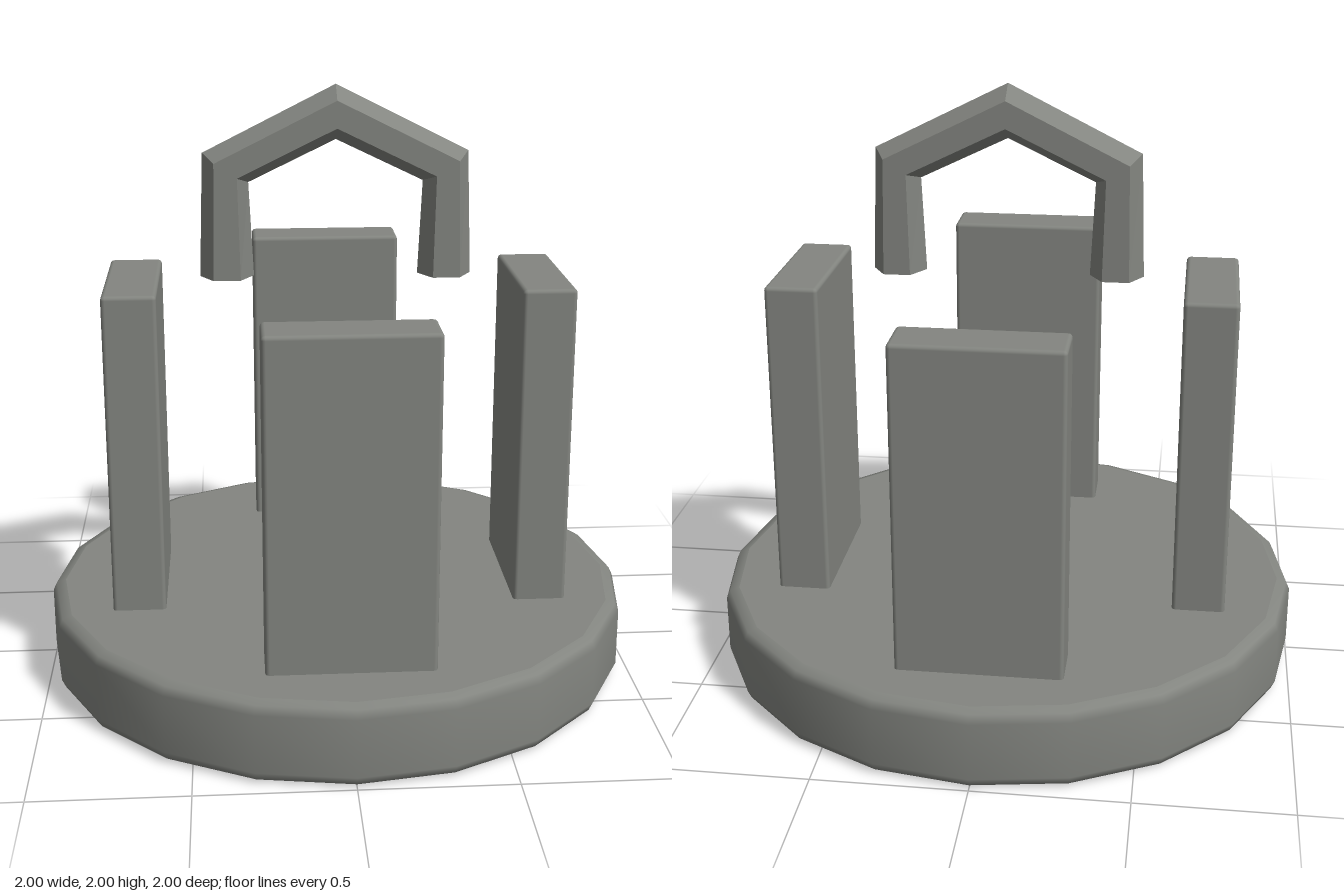
import * as THREE from 'three';
import { RoundedBoxGeometry } from 'three/addons/geometries/RoundedBoxGeometry.js';

const stone = new THREE.MeshStandardMaterial({ color: 0x838580 });
stone.name = 'stoneGrey';
const stoneFaceted = stone.clone();
stoneFaceted.flatShading = true;

function addMesh(parent, name, geometry, material = stone) {
  const mesh = new THREE.Mesh(geometry, material);
  mesh.name = name;
  parent.add(mesh);
  return mesh;
}

// Hexagonal bar swept through tilted rings: each ring is [x, y, tilt of its outward direction]
function hexBar(rings, radius) {
  const sides = 6;
  const positions = [];
  const index = [];
  for (const [x, y, tilt] of rings) {
    for (let i = 0; i < sides; i++) {
      const a = (i / sides) * Math.PI * 2;
      const out = Math.cos(a) * radius;
      positions.push(x + Math.cos(tilt) * out, y + Math.sin(tilt) * out, Math.sin(a) * radius);
    }
  }
  for (let r = 0; r < rings.length - 1; r++) {
    for (let i = 0; i < sides; i++) {
      const a = r * sides + i;
      const b = r * sides + ((i + 1) % sides);
      index.push(a, a + sides, b, b, a + sides, b + sides);
    }
  }
  // end caps
  const last = (rings.length - 1) * sides;
  for (let i = 1; i < sides - 1; i++) {
    index.push(0, i, i + 1);
    index.push(last, last + i + 1, last + i);
  }
  const geometry = new THREE.BufferGeometry();
  geometry.setAttribute('position', new THREE.Float32BufferAttribute(positions, 3));
  geometry.setIndex(index);
  geometry.computeVertexNormals();
  return geometry;
}

export function createModel() {
  const group = new THREE.Group();
  group.name = 'pillarStand';

  // Twenty-sided base disc with softened rims
  const profile = [
    [0, 0], [0.955, 0], [0.955, 0], [0.987, 0.012], [1, 0.04],
    [1, 0.235], [0.987, 0.263], [0.955, 0.273], [0.955, 0.273], [0, 0.273],
  ].map(([r, y]) => new THREE.Vector2(r, y));
  // separate lathes keep the flat faces crisp against the rounded side
  const base = new THREE.Group();
  base.name = 'base';
  group.add(base);
  addMesh(base, 'baseUnderside', new THREE.LatheGeometry(profile.slice(0, 2), 20));
  addMesh(base, 'baseRim', new THREE.LatheGeometry(profile.slice(2, 8), 20));
  addMesh(base, 'baseTop', new THREE.LatheGeometry(profile.slice(8), 20));

  // Four upright slabs around the centre
  const slab = new RoundedBoxGeometry(0.54, 1.145, 0.178, 2, 0.014);
  for (let i = 0; i < 4; i++) {
    const angle = (i * Math.PI) / 2;
    const mesh = addMesh(group, 'slab' + (i + 1), slab);
    mesh.position.set(Math.sin(angle) * 0.682, 0.7925, Math.cos(angle) * 0.682);
    mesh.rotation.y = angle;
  }

  // Floating peaked arch
  const corner = 0.58;
  addMesh(group, 'arch', hexBar([
    [0.365, 1.365, 0],
    [0.365, 1.73, corner],
    [0, 1.91, Math.PI / 2],
    [-0.365, 1.73, Math.PI - corner],
    [-0.365, 1.365, Math.PI],
  ], 0.09), stoneFaceted);

  return group;
}
